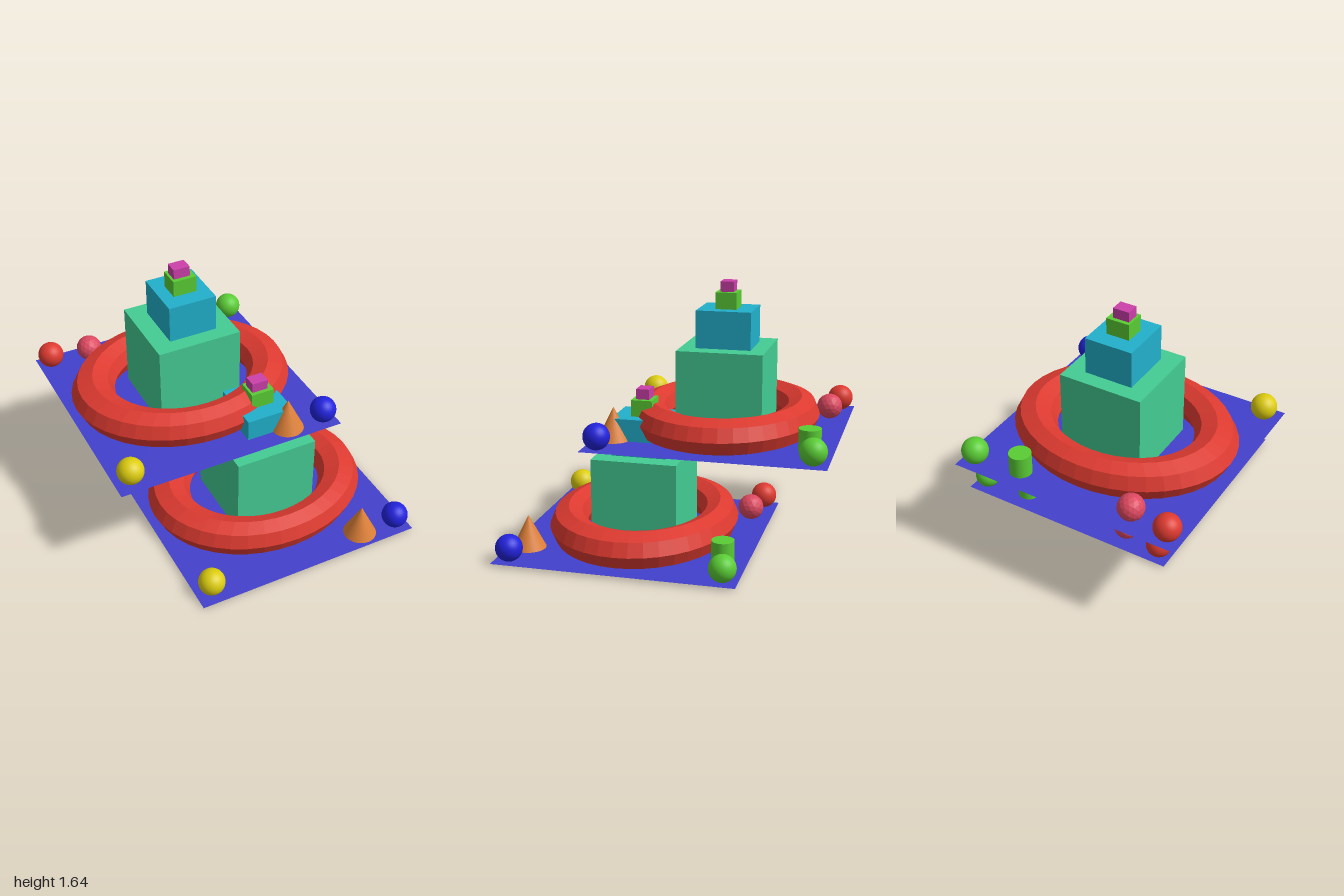
import * as THREE from 'three';

const mat = (name, color, extra = {}) => {
  const m = new THREE.MeshStandardMaterial({ color, ...extra });
  m.name = name;
  return m;
};

export function createModel() {
  const red = mat('red', 0xdd3a30);
  const redFacet = red.clone();
  redFacet.flatShading = true;
  const indigo = mat('indigo', 0x4340cc, { side: THREE.DoubleSide });
  const teal = mat('teal', 0x44cc94);
  const cyan = mat('cyan', 0x22b0cc);
  const green = mat('green', 0x5acc35);
  const magenta = mat('magenta', 0xcc40aa);
  const orange = mat('orange', 0xdd8038);
  const blue = mat('blue', 0x2222dd);
  const yellow = mat('yellow', 0xdccc10);
  const pink = mat('pink', 0xdd4860, { flatShading: true });

  const FLOOR = 0.015; // height of the sheet above the lowest point of the ring
  const R = 0.085;

  // One tier: a sheet carrying a ring, a stepped tower and small solids
  function makeTier(name) {
    const tier = new THREE.Group();
    tier.name = name;
    const add = (part, geo, material, x, y, z) => {
      const mesh = new THREE.Mesh(geo, material);
      mesh.name = part;
      mesh.position.set(x, y, z);
      tier.add(mesh);
      return mesh;
    };

    // Base sheet
    add('baseSheet', new THREE.PlaneGeometry(1.525, 1.525).rotateX(-Math.PI / 2), indigo, 0, FLOOR, 0);

    // Oval ring with an eight-sided section
    const ring = new THREE.TorusGeometry(0.485, 0.118, 8, 40).rotateX(Math.PI / 2).scale(1.22, 1, 1);
    add('ring', ring, redFacet, -0.008, 0.118, -0.005);

    // Stepped tower: name, material, width, depth, bottom, top
    [
      ['towerBase', teal, 0.555, 0.555, FLOOR, 0.573],
      ['towerMiddle', cyan, 0.318, 0.355, 0.573, 0.815],
      ['towerUpper', green, 0.155, 0.137, 0.815, 0.922],
      ['towerTop', magenta, 0.108, 0.086, 0.922, 0.988],
    ].forEach(([part, m, w, d, y0, y1]) =>
      add(part, new THREE.BoxGeometry(w, y1 - y0, d), m, part === 'towerTop' ? -0.003 : 0.005, (y0 + y1) / 2, -0.01));

    // Corner balls
    const ball = new THREE.SphereGeometry(R, 32, 20);
    [
      ['yellowBall', yellow, -0.655, 0.657],
      ['blueBall', blue, 0.677, 0.67],
      ['greenBall', green, 0.673, -0.668],
      ['redBall', red, -0.677, -0.672],
    ].forEach(([part, m, x, z]) => add(part, ball, m, x, 0.097, z));

    // Faceted ball, drum and cone
    add('facetedBall', new THREE.IcosahedronGeometry(R, 2), pink, -0.415, 0.097, -0.63);
    add('drum', new THREE.CylinderGeometry(0.071, 0.071, 0.142, 32), green, 0.378, FLOOR + 0.07, -0.607);
    add('cone', new THREE.ConeGeometry(0.108, 0.214, 32), orange, 0.437, FLOOR + 0.106, 0.633);
    return tier;
  }

  const model = new THREE.Group();
  model.name = 'stackedTiers';
  const lower = makeTier('lowerTier');
  lower.position.set(0.147, 0, 0.237);
  const upper = makeTier('upperTier');
  upper.position.set(-0.159, 0.657, -0.237);
  model.add(lower, upper);
  return model;
}
